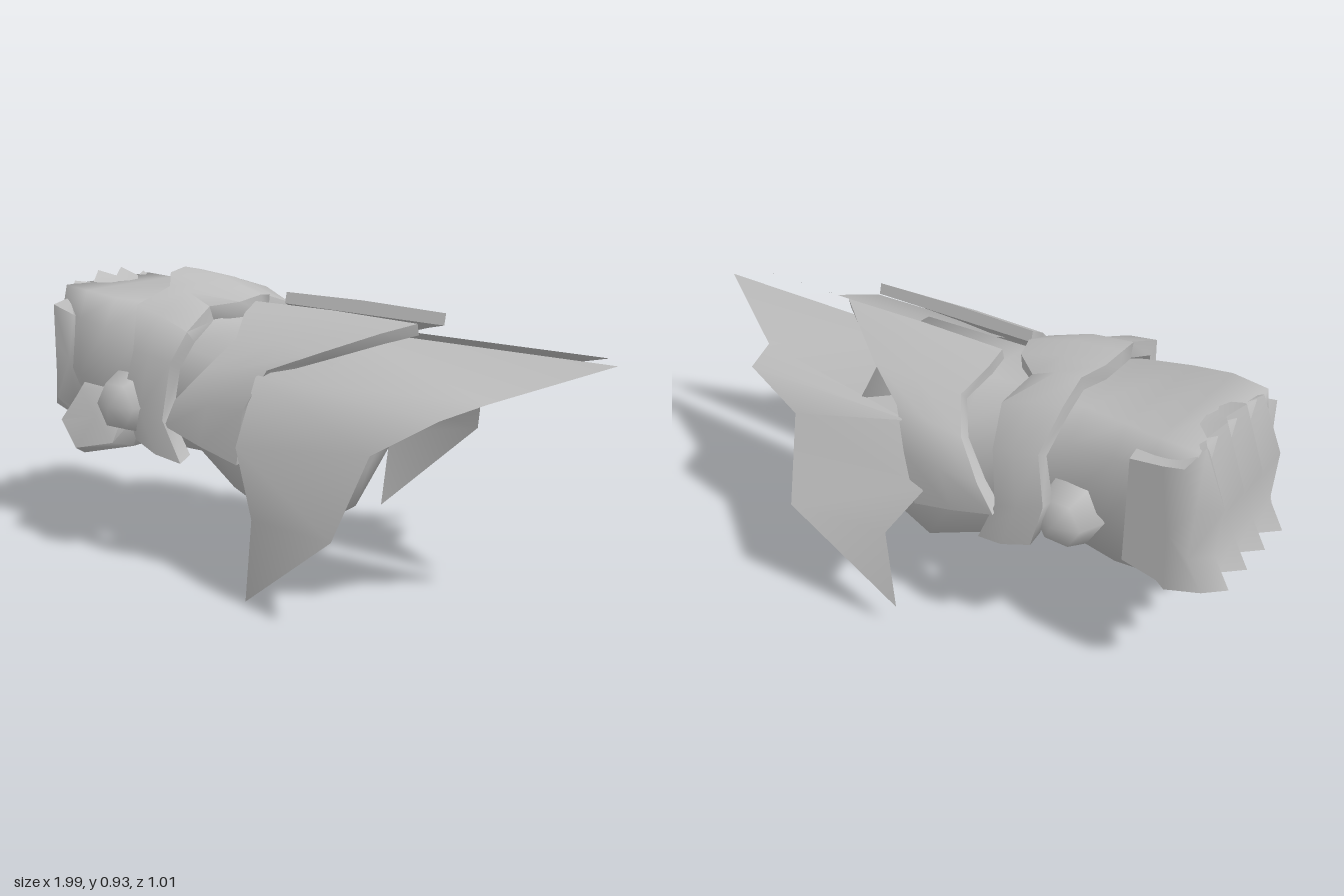
import * as THREE from 'three';
import { toCreasedNormals } from 'three/addons/utils/BufferGeometryUtils.js';

const MID = 0.035; // z of the hand's mirror plane

// Closed solid lofted through rings of [x, y, z]; winding is fixed by signed volume
function loft(rings, crease = 0.9) {
  const n = rings[0].length, pos = rings.flat(2), idx = [];
  for (let i = 0; i < rings.length - 1; i++) {
    for (let j = 0; j < n; j++) {
      const a = i * n + j, b = i * n + (j + 1) % n;
      idx.push(a, b, a + n, b, b + n, a + n);
    }
  }
  for (const end of [0, rings.length - 1]) {
    const c = pos.length / 3;
    for (let k = 0; k < 3; k++) pos.push(rings[end].reduce((s, p) => s + p[k], 0) / n);
    for (let j = 0; j < n; j++) {
      const a = end * n + j, b = end * n + (j + 1) % n;
      if (end === 0) idx.push(c, b, a); else idx.push(c, a, b);
    }
  }
  const v = (i) => new THREE.Vector3().fromArray(pos, idx[i] * 3);
  let volume = 0;
  for (let i = 0; i < idx.length; i += 3) volume += v(i).dot(v(i + 1).cross(v(i + 2)));
  if (volume < 0) idx.reverse();
  const g = new THREE.BufferGeometry();
  g.setAttribute('position', new THREE.Float32BufferAttribute(pos, 3));
  g.setIndex(idx);
  return toCreasedNormals(g, crease);
}

// Curved plate: stations [z offset from MID, xLeft, yLeft, xRight, yRight]
function plate(stations, thick, bulge) {
  return stations.map(([d, xl, yl, xr, yr]) => {
    const xm = (xl + xr) / 2, ym = (yl + yr) / 2;
    const out = new THREE.Vector2(d, ym - 0.52).normalize();
    const at = (x, y, o) => [x, y + out.y * o, MID + d + out.x * o];
    return [at(xl, yl, 0), at(xm, ym, bulge), at(xr, yr, 0), at(xr, yr, -thick), at(xl, yl, -thick)];
  });
}

export function createModel() {
  const group = new THREE.Group();
  const metal = new THREE.MeshStandardMaterial({ color: 0xbdbdbd });
  metal.name = 'grey metal';
  metal.side = THREE.DoubleSide;
  const add = (name, geometry) => {
    const mesh = new THREE.Mesh(geometry, metal);
    mesh.name = name;
    group.add(mesh);
    return mesh;
  };

  // Hand and forearm: [xBottom, xTop, yBottom, yTop, zMin, zMax, top width, sideways tilt]
  const sections = [
    [-0.88, -0.88, 0.43, 0.855, -0.21, 0.24, 0.88, 0],
    [-0.76, -0.76, 0.4, 0.85, -0.22, 0.285, 0.82, 0],
    [-0.64, -0.64, 0.37, 0.835, -0.21, 0.3, 0.75, 0],
    [-0.5, -0.5, 0.38, 0.825, -0.21, 0.29, 0.65, 0],
    [-0.34, -0.34, 0.37, 0.8, -0.225, 0.28, 0.5, 0.02],
    [-0.22, -0.14, 0.27, 0.785, -0.25, 0.29, 0.4, 0.04],
    [0.03, 0.21, 0.16, 0.79, -0.325, 0.34, 0.27, 0.06],
    [0.12, 0.2, 0.32, 0.66, -0.17, 0.18, 0.35, 0.06],
  ];
  add('handAndForearm', loft(sections.map(([xb, xt, yb, yt, z0, z1, top, tilt]) => {
    const low = 0.3 + top * 0.6;
    const outline = [[low, -1], [-low, -1], [-1, -0.18], [-0.8 - top * 0.2, 0.62],
      [-top, 1], [top, 1], [0.8 + top * 0.2, 0.62], [1, -0.18]];
    return outline.map(([u, v]) => {
      const z = (z0 + z1) / 2 + u * (z1 - z0) / 2;
      return [xb + (xt - xb) * (v + 1) / 2, (yb + yt) / 2 + v * (yt - yb) / 2 - z * tilt, z];
    });
  }), 2.2));

  // Four curled fingers: one side profile repeated as ridges and grooves
  const finger = [[-0.7, 0.835], [-0.8, 0.85], [-0.89, 0.89], [-0.96, 0.7],
    [-0.95, 0.54], [-1, 0.45], [-0.89, 0.41], [-0.81, 0.43], [-0.7, 0.45]];
  const columns = [];
  for (let k = 0; k <= 8; k++) {
    const groove = k % 2 === 0, z = -0.22 + k * 0.055;
    columns.push(finger.map(([x, y]) => [
      x + (groove && x < -0.85 ? (y > 0.8 ? 0.03 : 0.055) : 0),
      y - (y > 0.8 ? z * z : 0) - (groove && y > 0.86 ? 0.025 : 0),
      z,
    ]));
  }
  // Thumb side of the fist slopes back into the palm
  columns.push(finger.map(([x, y]) => [Math.max(x, -0.89), 0.62 + (y - 0.62) * 0.65, 0.265]));
  add('fingers', loft(columns, 1));

  // Thumb along the front of the palm
  const thumb = [[-0.76, 0.57], [-0.82, 0.44], [-0.74, 0.325], [-0.52, 0.38], [-0.48, 0.52], [-0.54, 0.6]];
  add('thumb', loft([[0.12, 1], [0.3, 1], [0.36, 0.75]].map(([z, s]) => thumb.map(([x, y]) => [
    -0.65 + (x + 0.65) * s, 0.45 + (y - 0.45) * s, z - Math.max(0, y - 0.45) * 0.4,
  ])), 1.1));

  // Wrist band with a raised crest, rolled slightly to the back
  add('wristBand', loft(plate([
    [-0.35, -0.46, 0.45, -0.28, 0.4],
    [-0.355, -0.5, 0.6, -0.34, 0.54],
    [-0.325, -0.46, 0.74, -0.31, 0.7],
    [-0.24, -0.48, 0.86, -0.28, 0.8],
    [-0.12, -0.46, 0.885, -0.3, 0.84],
    [-0.06, -0.5, 0.91, -0.22, 0.85],
    [0.01, -0.51, 0.925, -0.2, 0.86],
    [0.09, -0.5, 0.915, -0.22, 0.845],
    [0.14, -0.46, 0.88, -0.3, 0.83],
    [0.27, -0.48, 0.835, -0.28, 0.77],
    [0.315, -0.46, 0.7, -0.31, 0.68],
    [0.325, -0.5, 0.55, -0.34, 0.5],
    [0.315, -0.46, 0.42, -0.28, 0.37],
  ], 0.05, 0.015), 1.1));

  // Spiked cuff plates, one on each side; the back one sits wider and a little higher
  const cuff = plate([
    [0.075, -0.17, 0.85, 0.41, 0.835],
    [0.13, -0.17, 0.82, 0.32, 0.805],
    [0.21, -0.14, 0.755, 0.18, 0.75],
    [0.28, -0.2, 0.67, 0.03, 0.69],
    [0.32, -0.29, 0.57, -0.03, 0.57],
    [0.315, -0.34, 0.48, -0.06, 0.4],
  ], 0.035, 0.005);
  add('frontCuff', loft(cuff));
  add('backCuff', loft(cuff.map((r) => r.map(([x, y, z]) => [x, y + z * 0.09, (2 * MID - z) * 1.18]))));

  // Faceted studs beside the wrist
  for (const [name, x, z] of [['frontStud', -0.5, 0.32], ['backStud', -0.52, -0.2]]) {
    const stud = add(name, new THREE.SphereGeometry(0.108, 6, 4));
    stud.rotation.x = Math.PI / 2;
    stud.position.set(x, 0.53, z);
  }

  // Thin jagged wings: four inner points, then six outer points
  const faces = [0, 4, 5, 0, 5, 1, 1, 5, 6, 1, 6, 7, 1, 7, 2, 2, 7, 8, 2, 8, 3, 3, 8, 9];
  const wing = (name, points, order) => {
    const g = new THREE.BufferGeometry();
    g.setAttribute('position', new THREE.Float32BufferAttribute(points.flat(), 3));
    g.setIndex(order);
    add(name, toCreasedNormals(g, 1.3));
  };
  wing('frontWing', [
    [0.08, 0.785, 0.05], [0, 0.67, 0.33], [-0.05, 0.46, 0.365], [0.05, 0.27, 0.42],
    [0.99, 0.77, 0.05], [0.7, 0.66, 0.22], [0.63, 0.63, 0.35],
    [0.43, 0.51, 0.38], [0.39, 0.29, 0.505], [0, 0, 0.39],
  ], faces.slice().reverse());
  wing('backWing', [
    [0.06, 0.787, -0.02], [-0.02, 0.69, -0.3], [-0.1, 0.5, -0.33], [-0.01, 0.35, -0.41],
    [0.93, 0.772, -0.03], [0.62, 0.685, -0.2], [0.57, 0.68, -0.33],
    [0.37, 0.6, -0.36], [0.27, 0.39, -0.51], [-0.05, 0.09, -0.42],
  ], faces);
  return group;
}
